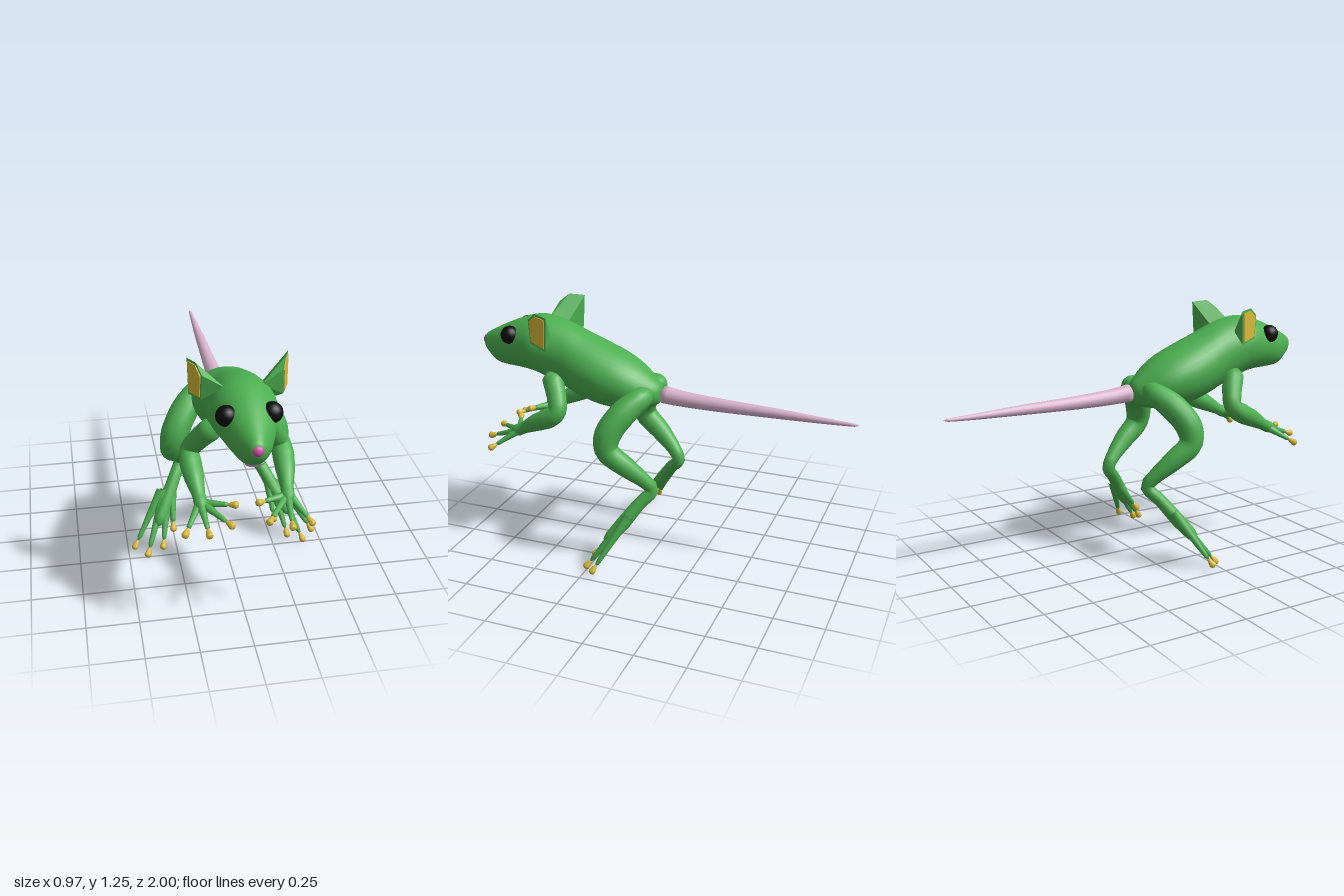
import * as THREE from 'three';
import { mergeVertices } from 'three/addons/utils/BufferGeometryUtils.js';
import { ConvexGeometry } from 'three/addons/geometries/ConvexGeometry.js';
import { ParametricGeometry } from 'three/addons/geometries/ParametricGeometry.js';

const mat = (name, color) => {
  const m = new THREE.MeshStandardMaterial({ color });
  m.name = name;
  return m;
};

// Weld seams and recompute smooth normals
function smooth(geo) {
  geo.deleteAttribute('uv');
  geo.deleteAttribute('normal');
  const g = mergeVertices(geo, 1e-5);
  g.computeVertexNormals();
  return g;
}

// Tapered round tube through points [x, y, z, radius]
function taper(pts, side = 1, seg = 20, sides = 12) {
  const curve = new THREE.CatmullRomCurve3(pts.map(p => new THREE.Vector3(p[0] * side, p[1], p[2])));
  const geo = new THREE.TubeGeometry(curve, seg, 1, sides);
  const pos = geo.attributes.position, v = new THREE.Vector3();
  for (let i = 0; i <= seg; i++) {
    const c = curve.getPointAt(i / seg);
    const t = curve.getUtoTmapping(i / seg) * (pts.length - 1);
    const k = Math.min(Math.floor(t), pts.length - 2);
    const r = THREE.MathUtils.lerp(pts[k][3], pts[k + 1][3], t - k);
    for (let j = 0; j <= sides; j++) {
      const n = i * (sides + 1) + j;
      v.fromBufferAttribute(pos, n).sub(c).multiplyScalar(r).add(c);
      pos.setXYZ(n, v.x, v.y, v.z);
    }
  }
  return smooth(geo);
}

// Body cross-sections: z, half width, top, bottom
const sections = [
  [0.0, 0.0, 0.845, 0.845], [0.005, 0.045, 0.885, 0.80], [0.05, 0.09, 0.93, 0.765],
  [0.12, 0.135, 0.985, 0.75], [0.2, 0.162, 1.03, 0.747], [0.3, 0.172, 1.072, 0.755],
  [0.4, 0.165, 1.112, 0.78], [0.5, 0.152, 1.155, 0.82], [0.6, 0.152, 1.182, 0.86],
  [0.67, 0.153, 1.185, 0.885], [0.75, 0.133, 1.165, 0.895], [0.83, 0.108, 1.132, 0.898],
  [0.9, 0.08, 1.097, 0.905], [0.95, 0.053, 1.07, 0.94], [0.98, 0.032, 1.048, 0.975],
  [0.99, 0.0, 1.012, 1.012]];
const widths = new THREE.CatmullRomCurve3(sections.map(s => new THREE.Vector3(s[0], s[1], 0)), false, 'catmullrom');
const heights = new THREE.CatmullRomCurve3(sections.map(s => new THREE.Vector3(s[2], s[3], 0)), false, 'catmullrom');

function skin(angle, t, offset, target) {
  const w = widths.getPoint(t), h = heights.getPoint(t);
  const mid = (h.x + h.y) / 2, half = (h.x - h.y) / 2;
  target.set((Math.max(w.y, 0) + offset) * Math.cos(angle), mid + (half + offset) * Math.sin(angle), w.x + offset);
}

export function createModel() {
  const model = new THREE.Group();
  model.name = 'longTailedCreature';
  const green = mat('green skin', 0x4caf50);
  const pink = mat('pale pink', 0xd9b3cd);
  const rose = mat('rose nose', 0xd052a6);
  const yellow = mat('yellow', 0xd9b93a);
  const black = mat('black eye', 0x0b0b0b);

  const add = (name, geo, material) => {
    const mesh = new THREE.Mesh(geo, material);
    mesh.name = name;
    model.add(mesh);
    return mesh;
  };

  // Body and head in one skin
  add('body', smooth(new ParametricGeometry((u, v, p) => skin(u * Math.PI * 2, v, 0, p), 32, 60)), green);

  // Mouth patch under the snout
  add('mouth', smooth(new ParametricGeometry((u, v, p) => {
    const spread = 0.75 * (v < 0.5 ? v / 0.5 : (1 - v) / 0.5);
    skin(-Math.PI / 2 + (u - 0.5) * 2 * spread, (11.6 + v * 1.9) / 15, 0.005, p);
  }, 8, 10)), pink);

  // Nose
  add('nose', new THREE.SphereGeometry(0.028, 12, 8), rose).position.set(0, 1.018, 0.972);

  // Tail
  add('tail', taper([[0, 0.845, 0.012, 0], [0, 0.843, 0, 0.046], [0, 0.832, -0.1, 0.04], [0, 0.825, -0.3, 0.034],
    [0, 0.823, -0.6, 0.025], [0, 0.82, -0.85, 0.014], [0, 0.82, -0.99, 0.006], [0, 0.82, -1, 0]], 1, 40, 16), pink);

  // Digit running from a root to a padded yellow tip
  function digit(name, root, tip, side, rootR) {
    const at = (t, r) => [...root.map((c, i) => c + (tip[i] - c) * t), r];
    const len = Math.hypot(...root.map((c, i) => tip[i] - c));
    const pad = 1 - 0.05 / len;
    add(name, taper([at(0, rootR), at(pad * 0.6, rootR * 0.65), at(pad, 0.01), at(pad + 0.02, 0)], side, 12, 8), green);
    add(name + 'Tip', taper([at(pad - 0.01, 0.006), at(pad + (1 - pad) * 0.3, 0.013),
      at(pad + (1 - pad) * 0.7, 0.018), at(pad + (1 - pad) * 0.9, 0.013), at(1, 0)], side, 10, 8), yellow);
  }

  for (const [label, s] of [['left', 1], ['right', -1]]) {
    // Eye
    add(label + 'Eye', new THREE.SphereGeometry(0.047, 18, 12), black).position.set(0.099 * s, 1.09, 0.79);

    // Ear shell with a thin coloured inner plate
    const rim = [[-0.01, 0.082], [0.07, 0.09], [0.122, 0.05], [0.112, -0.07], [0, -0.09]];
    const earPoint = (u, v, out) => new THREE.Vector3(
      s * (0.222 - 0.36 * u + 0.93 * out), 1.16 + v, 0.525 + 0.93 * u + 0.36 * out);
    const base = [[0.08, 1.15, 0.65], [0.13, 1.07, 0.62], [0.1, 1.12, 0.56]]
      .map(p => new THREE.Vector3(p[0] * s, p[1], p[2]));
    add(label + 'Ear', new ConvexGeometry([...rim.map(([u, v]) => earPoint(u, v, 0)), ...base]), green);
    const inner = rim.map(([u, v]) => [0.055 + (u - 0.055) * 0.84, v * 0.86]);
    add(label + 'InnerEar', new ConvexGeometry(inner.flatMap(([u, v]) =>
      [earPoint(u, v, -0.002), earPoint(u, v, 0.004)])), yellow);

    // Hind leg
    add(label + 'HindLeg', taper([[0.04, 0.86, 0.06, 0.01], [0.09, 0.855, 0.06, 0.055], [0.18, 0.79, 0.13, 0.068],
      [0.245, 0.69, 0.19, 0.068], [0.262, 0.61, 0.19, 0.06], [0.245, 0.53, 0.1, 0.052],
      [0.212, 0.45, 0.01, 0.037], [0.195, 0.4, -0.025, 0.033], [0.235, 0.33, 0.03, 0.032],
      [0.29, 0.23, 0.1, 0.036], [0.335, 0.15, 0.16, 0.03], [0.35, 0.125, 0.175, 0]], s, 44, 14), green);
    [[0.265, 0.105, 0.2], [0.328, 0.035, 0.25], [0.412, 0.005, 0.262], [0.475, 0.02, 0.2]].forEach((tip, i) =>
      digit(label + 'Toe' + (i + 1), [0.255 + i * 0.018, 0.28, 0.065], tip, s, 0.026));

    // Front leg
    add(label + 'FrontLeg', taper([[0.08, 0.93, 0.56, 0.02], [0.125, 0.89, 0.54, 0.055], [0.175, 0.82, 0.5, 0.05],
      [0.215, 0.755, 0.48, 0.045], [0.217, 0.715, 0.53, 0.052], [0.212, 0.68, 0.6, 0.046],
      [0.203, 0.635, 0.68, 0.03], [0.198, 0.61, 0.73, 0.032], [0.195, 0.6, 0.765, 0]], s, 36, 14), green);
    [[0.295, 0.525, 0.845], [0.185, 0.55, 0.9], [0.075, 0.58, 0.88], [0.038, 0.632, 0.785]].forEach((tip, i) =>
      digit(label + 'Finger' + (i + 1), [0.208 - i * 0.008, 0.612, 0.715], tip, s, 0.021));
  }
  return model;
}
